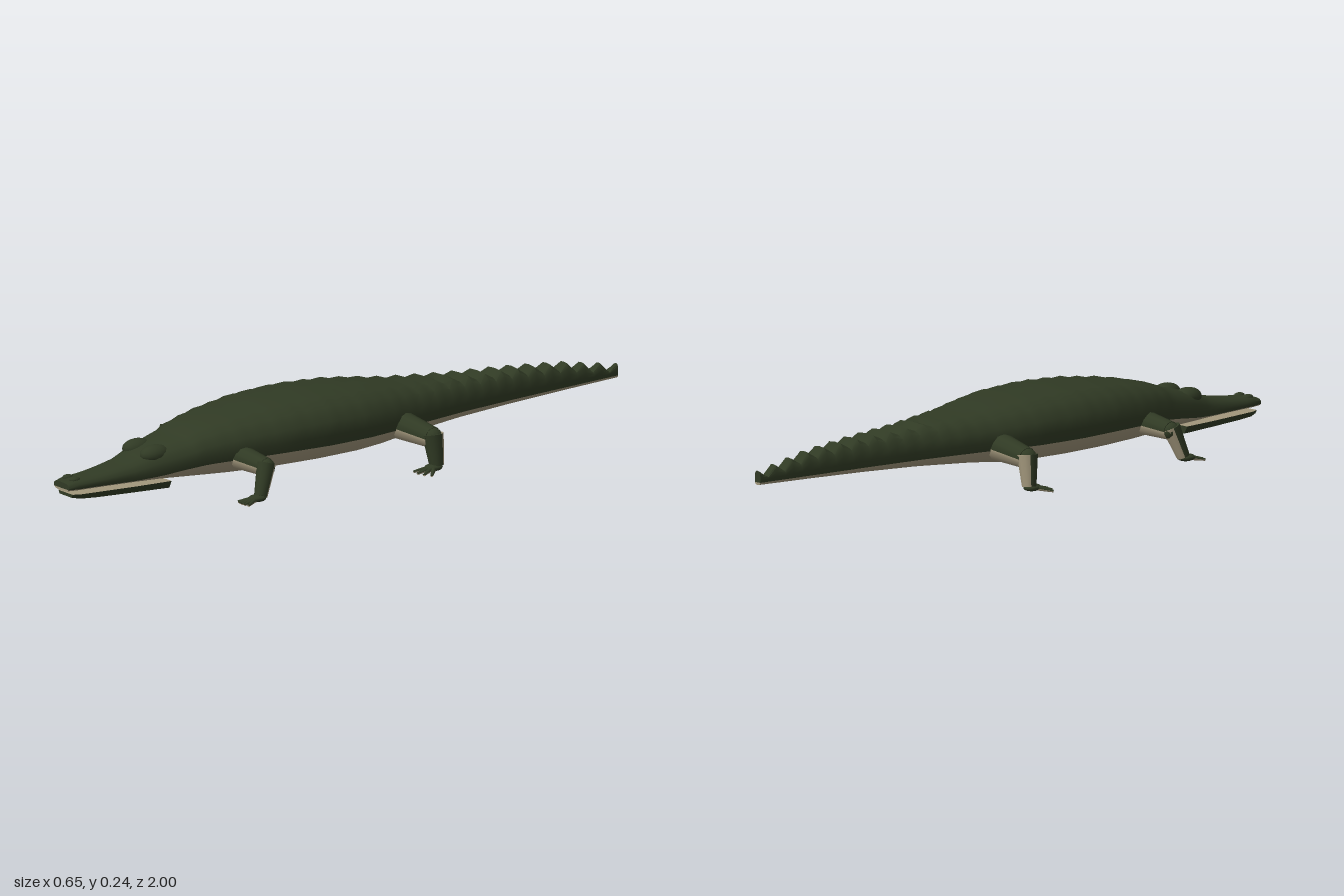
import * as THREE from 'three';
import { toCreasedNormals } from 'three/addons/utils/BufferGeometryUtils.js';

const hide = new THREE.MeshStandardMaterial({ name: 'dark green hide', color: 0x303a24 });
const belly = new THREE.MeshStandardMaterial({ name: 'pale belly', color: 0xa2977c });

function add(parent, name, geometry, material) {
  const mesh = new THREE.Mesh(geometry, material);
  mesh.name = name;
  parent.add(mesh);
  return mesh;
}

// Skin over rows of points; each row runs across, rows follow each other towards +z
function skin(rows) {
  const n = rows[0].length, index = [];
  for (let i = 0; i < rows.length - 1; i++) {
    for (let j = 0; j < n - 1; j++) {
      const a = i * n + j, c = a + n;
      index.push(a, a + 1, c, a + 1, c + 1, c);
    }
  }
  const g = new THREE.BufferGeometry();
  g.setAttribute('position', new THREE.Float32BufferAttribute(rows.flat(2), 3));
  g.setIndex(index);
  return toCreasedNormals(g, 0.7);
}

// z, half width, top, colour line, bottom
const PROFILE = [
  [-1, 0.012, 0.143, 0.108, 0.1], [-0.8, 0.032, 0.178, 0.106, 0.093],
  [-0.6, 0.056, 0.193, 0.105, 0.085], [-0.4, 0.088, 0.201, 0.105, 0.075],
  [-0.2, 0.133, 0.214, 0.105, 0.06], [-0.1, 0.16, 0.226, 0.105, 0.048],
  [0, 0.18, 0.236, 0.105, 0.042], [0.15, 0.191, 0.241, 0.105, 0.04],
  [0.3, 0.183, 0.234, 0.105, 0.04], [0.45, 0.155, 0.215, 0.1, 0.042],
  [0.55, 0.128, 0.195, 0.095, 0.046], [0.62, 0.11, 0.168, 0.086, 0.05],
  [0.7, 0.09, 0.148, 0.074, 0.055], [0.78, 0.069, 0.118, 0.067, 0.058],
  [0.86, 0.057, 0.102, 0.066, 0.058], [0.93, 0.05, 0.093, 0.066, 0.058],
  [0.97, 0.047, 0.092, 0.066, 0.058], [1, 0.039, 0.084, 0.066, 0.058],
];

function sample(z) {
  let k = 0;
  while (k < PROFILE.length - 2 && z > PROFILE[k + 1][0]) k++;
  const a = PROFILE[k], b = PROFILE[k + 1], t = (z - a[0]) / (b[0] - a[0]);
  return a.map((v, i) => v + (b[i] - v) * t);
}

const BACK = [[0.94, 0], [1, 0.25], [0.97, 0.55], [0.8, 0.83], [0.53, 0.97], [0, 1]];
const UNDER = [[0.94, 0], [0.8, 0.55], [0.53, 0.88], [0, 1]];
const mirrored = (half) => [...half, ...half.slice(0, -1).reverse().map(([x, t]) => [-x, t])];

function buildBody(group) {
  const upper = [], lower = [], count = 64;
  for (let i = 0; i <= count; i++) {
    const [z, w, top, line, low] = sample(-1 + (2 * i) / count);
    // Every second section sinks to leave a scute ridge, deeper along the tail
    const depth = z > 0.6 ? 0 : z > -0.1 ? 0.005 : 0.005 + 0.024 * ((-0.1 - z) / 0.9);
    const drop = i % 2 ? depth : 0;
    upper.push(mirrored(BACK).map(([x, t]) => [x * w, line + (top - line - drop * t) * t, z]));
    lower.push(mirrored(UNDER).map(([x, t]) => [-x * w, line + (low - line) * t, z]));
  }
  // Close the snout and tail tip
  for (const rows of [upper, lower]) {
    const close = (row) => row.map(([x, , z]) => [x, row[0][1], z]);
    rows.unshift(close(rows[0]));
    rows.push(close(rows[rows.length - 1]));
  }
  add(group, 'back', skin(upper), hide);
  add(group, 'belly', skin(lower), belly);
}

function buildHead(group) {
  for (const s of [1, -1]) {
    const brow = add(group, 'brow', new THREE.SphereGeometry(1, 14, 10), hide);
    brow.scale.set(0.034, 0.028, 0.05);
    brow.position.set(s * 0.045, 0.133, 0.695);
    const nostril = add(group, 'nostril', new THREE.SphereGeometry(1, 10, 8), hide);
    nostril.scale.set(0.014, 0.008, 0.018);
    nostril.position.set(s * 0.018, 0.09, 0.965);
  }
  // Lower jaw: z, half width, top, bottom
  const jaw = [[0.66, 0.082, 0.053, 0.03], [0.78, 0.068, 0.051, 0.031],
    [0.9, 0.052, 0.05, 0.032], [0.96, 0.046, 0.05, 0.035], [0.985, 0.036, 0.05, 0.04]];
  const band = (f) => skin(jaw.map(f));
  add(group, 'mouthFloor', band(([z, w, t]) => [[w, t, z], [-w, t, z]]), belly);
  add(group, 'jawUnderside', band(([z, w, , b]) => [[-w * 0.85, b, z], [w * 0.85, b, z]]), belly);
  add(group, 'jawLeftSide', band(([z, w, t, b]) => [[w * 0.85, b, z], [w, t, z]]), hide);
  add(group, 'jawRightSide', band(([z, w, t, b]) => [[-w, t, z], [-w * 0.85, b, z]]), hide);
  const end = ([z, w, t, b], s) => skin([[[-w * s, t, z], [w * s, t, z]],
    [[-w * 0.85 * s, b, z], [w * 0.85 * s, b, z]]]);
  add(group, 'jawBack', end(jaw[0], 1), hide);
  add(group, 'jawTip', end(jaw[4], -1), hide);
}

// Tapered limb from a to b; the half towards "face" is hide, the other half belly
function limb(parent, name, a, b, ra, rb, face) {
  const from = new THREE.Vector3(...a), to = new THREE.Vector3(...b);
  const y = to.clone().sub(from), length = y.length();
  y.normalize();
  const x = new THREE.Vector3().crossVectors(y, new THREE.Vector3(...face)).normalize();
  const z = new THREE.Vector3().crossVectors(x, y);
  const part = new THREE.Group();
  part.name = name;
  part.position.copy(from).lerp(to, 0.5);
  part.quaternion.setFromRotationMatrix(new THREE.Matrix4().makeBasis(x, y, z));
  const half = (start) => new THREE.CylinderGeometry(rb, ra, length, 6, 1, false, start, Math.PI);
  add(part, name + 'Outer', half(-Math.PI / 2), hide);
  add(part, name + 'Inner', half(Math.PI / 2), belly);
  parent.add(part);
}

function buildLeg(group, s, name, { hip, knee, ankle, radii, toes, spread, reach }) {
  const leg = new THREE.Group();
  leg.name = name;
  const flip = ([x, y, z]) => [s * x, y, z];
  const [r0, r1, r2] = radii;
  limb(leg, 'upperLeg', flip(hip), flip(knee), r0, r1, [0, 1, 0]);
  limb(leg, 'lowerLeg', flip([knee[0], knee[1] + 0.012, knee[2]]), flip(ankle), r1, r2, [s * 0.5, 0, 1]);
  const joint = add(leg, 'joint', new THREE.SphereGeometry(r1 * 0.95, 10, 8), hide);
  joint.position.set(...flip(knee));
  // Flat foot with fanned toes
  const foot = add(leg, 'foot', new THREE.SphereGeometry(1, 10, 8), hide);
  foot.scale.set(0.024, 0.011, 0.03);
  foot.position.set(s * ankle[0], 0.014, ankle[2] + 0.012);
  for (let i = 0; i < toes; i++) {
    const angle = spread[0] + ((spread[1] - spread[0]) * i) / (toes - 1);
    const tip = [ankle[0] + Math.sin(angle) * reach, 0.004, ankle[2] + Math.cos(angle) * reach];
    limb(leg, 'toe', flip([ankle[0], 0.016, ankle[2] + 0.008]), flip(tip), 0.009, 0.004, [0, 1, 0]);
  }
  group.add(leg);
}

export function createModel() {
  const group = new THREE.Group();
  group.name = 'crocodile';
  buildBody(group);
  buildHead(group);
  for (const s of [1, -1]) {
    const side = s > 0 ? 'left' : 'right';
    buildLeg(group, s, side + 'FrontLeg', {
      hip: [0.11, 0.105, 0.445], knee: [0.25, 0.097, 0.437], ankle: [0.268, 0.018, 0.47],
      radii: [0.039, 0.028, 0.02], toes: 5, spread: [-0.45, 0.4], reach: 0.068,
    });
    buildLeg(group, s, side + 'HindLeg', {
      hip: [0.1, 0.115, -0.135], knee: [0.262, 0.1, -0.155], ankle: [0.275, 0.018, -0.16],
      radii: [0.046, 0.032, 0.022], toes: 4, spread: [-0.3, 0.75], reach: 0.072,
    });
  }
  return group;
}
